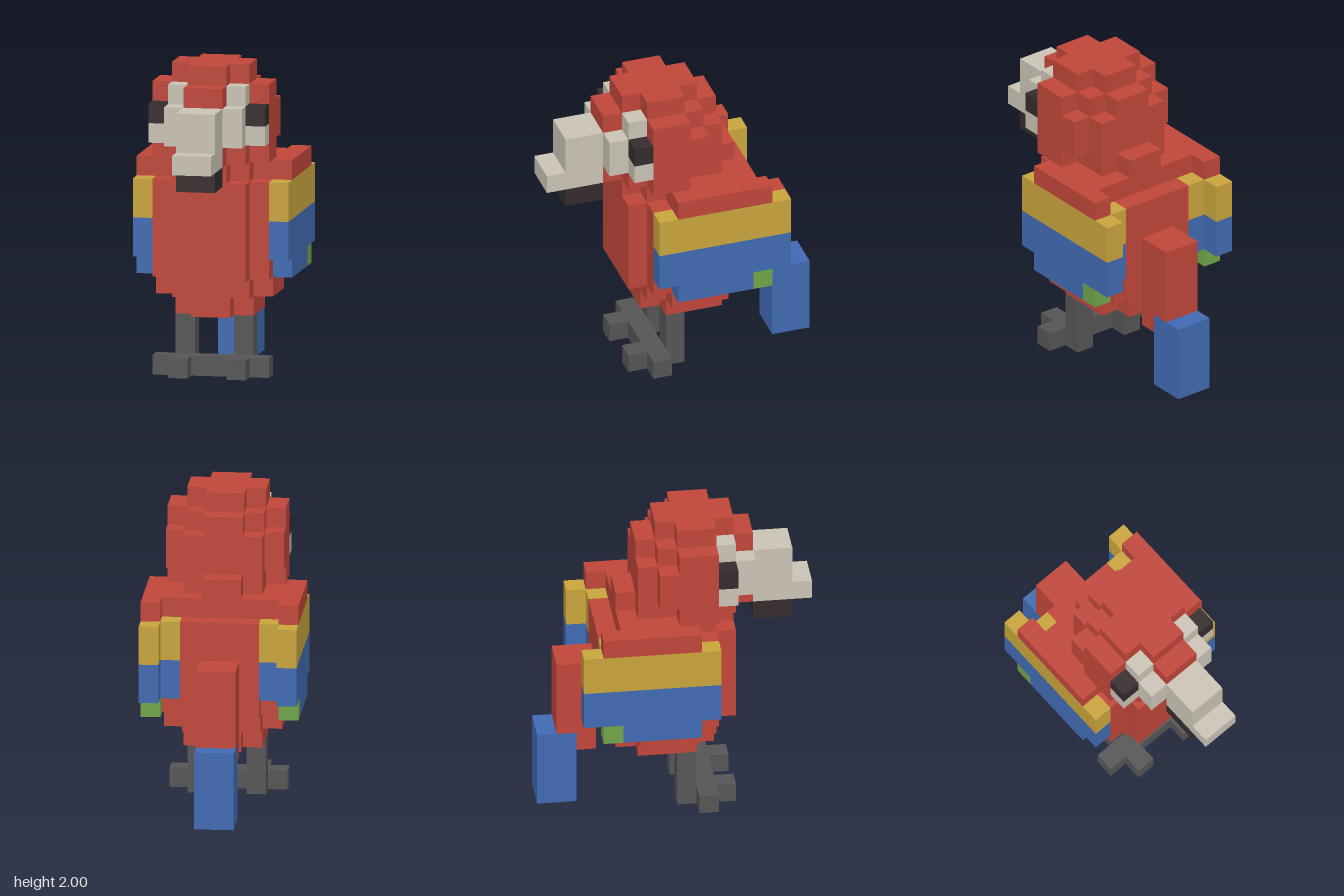
import * as THREE from 'three';

const U = 0.125; // one block

function mat(name, color) {
  const m = new THREE.MeshStandardMaterial({ color });
  m.name = name;
  return m;
}

export function createModel() {
  const red = mat('red', 0xc0463a);
  const yellow = mat('yellow', 0xc8a43c);
  const blue = mat('blue', 0x406ab2);
  const green = mat('green', 0x70a448);
  const bone = mat('bone', 0xcac3b5);
  const dark = mat('dark', 0x352b2c);
  const grey = mat('grey', 0x555555);

  const model = new THREE.Group();
  model.name = 'parrot';

  // Box between block coordinates
  function box(name, material, x0, x1, y0, y1, z0, z1) {
    const mesh = new THREE.Mesh(
      new THREE.BoxGeometry((x1 - x0) * U, (y1 - y0) * U, (z1 - z0) * U), material);
    mesh.position.set((x0 + x1) * U / 2, (y0 + y1) * U / 2, (z0 + z1) * U / 2);
    mesh.name = name;
    model.add(mesh);
  }
  // Box centred on x = 0 with half width w
  const mid = (name, m, w, ...r) => box(name, m, -w, w, ...r);
  // Box on both sides
  function pair(name, m, x0, x1, ...r) {
    box(name + 'Left', m, x0, x1, ...r);
    box(name + 'Right', m, -x1, -x0, ...r);
  }
  // Stepped layer: [half width, back, front] slabs sharing one height range
  function layer(name, m, y0, y1, slabs) {
    for (const [w, z0, z1] of slabs) mid(name, m, w, y0, y1, z0, z1);
  }

  // Head
  layer('crown', red, 15, 16, [[1, -1, 3], [2, 0, 2]]);
  layer('forehead', red, 14, 15, [[1, -2, 4], [2, -1, 2], [3, 0, 2]]);
  layer('headBack', red, 12, 14, [[2, -2, 2], [3, -1, 2]]);
  layer('neck', red, 11, 12, [[1, -3, 4], [2, -2, 3], [3, 0, 2]]);

  // Face
  mid('face', bone, 2, 12, 14, 2, 4);
  pair('brow', bone, 1, 2, 14, 15, 2, 3);
  pair('cheek', bone, 2, 3, 12, 13, 2, 3);
  pair('eye', dark, 2, 3, 13, 14, 2, 3);

  // Beak
  mid('upperBeak', bone, 1, 11, 14, 4, 6);
  mid('beakTip', bone, 1, 11, 12, 6, 7);
  mid('lowerBeak', dark, 1, 10, 11, 4, 6);
  mid('chin', red, 1, 10, 11, 2, 3);

  // Body
  layer('shoulders', red, 10, 11, [[2, -3, 2], [3, -3, 1]]);
  layer('torso', red, 5, 10, [[2, -4, 3], [3, -3, 2]]);
  layer('belly', red, 4, 5, [[2, -3, 2], [3, -2, 1]]);
  layer('rump', red, 3, 4, [[1, -3, 2], [2, -2, 1]]);

  // Wings
  pair('wingTop', red, 3, 4, 10, 11, -4, 1);
  pair('wingYellow', yellow, 3, 4, 8, 10, -5, 2);
  pair('wingBlue', blue, 3, 4, 6, 8, -5, 2);
  pair('wingLower', blue, 3, 4, 5, 6, -3, 1);
  pair('wingTip', green, 3, 4, 5, 6, -4, -3);
  pair('wingInnerYellow', yellow, 2, 3, 8, 10, -4, -3);
  pair('wingInnerBlue', blue, 2, 3, 6, 8, -4, -3);

  // Tail
  mid('tailUpper', red, 1, 4, 8, -6, -4);
  mid('tailUnder', red, 1, 3, 4, -5, -4);
  mid('tailTip', blue, 1, 0, 4, -7, -5);

  // Legs and feet
  pair('leg', grey, 1, 2, 0, 3, 0, 1);
  mid('feet', grey, 3, 0, 1, 1, 2);
  pair('toe', grey, 1, 2, 0, 1, 2, 3);

  return model;
}
